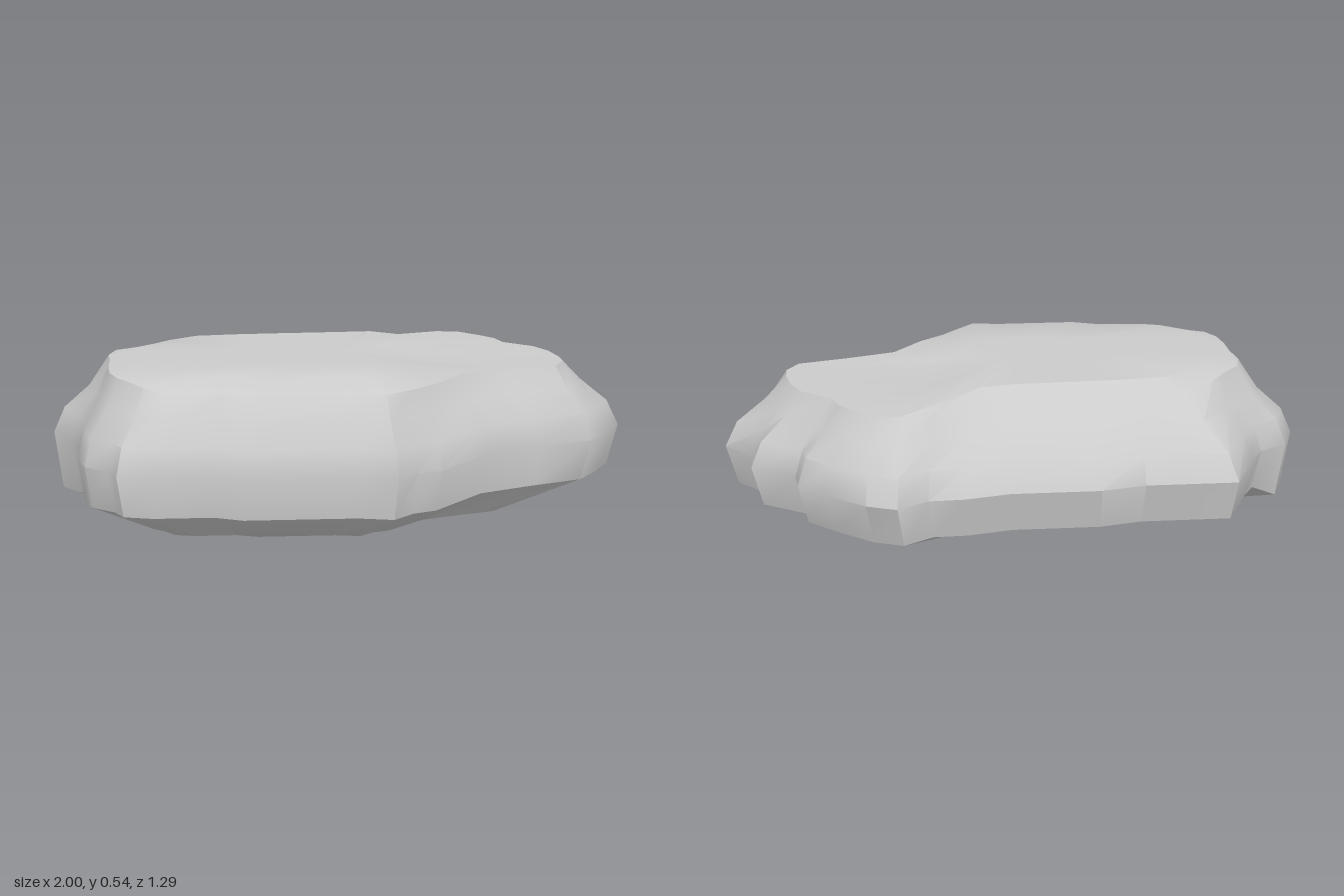
import * as THREE from 'three';
import { toCreasedNormals } from 'three/addons/utils/BufferGeometryUtils.js';

// Widest outline of the boulder as (x, z), starting at its right tip and passing along the back
const girth = [
  [-1, -0.03], [-0.95, -0.16], [-0.85, -0.22], [-0.8, -0.31], [-0.71, -0.51], [-0.4, -0.51], [-0.25, -0.545],
  [0.05, -0.545], [0.2, -0.58], [0.32, -0.585], [0.42, -0.65], [0.52, -0.61], [0.65, -0.5], [0.74, -0.41],
  [0.75, -0.33], [0.9, -0.23], [0.9, -0.12], [1, 0], [0.93, 0.12], [0.86, 0.21], [0.67, 0.28],
  [0.48, 0.36], [0.3, 0.55], [0.22, 0.58], [0.15, 0.645], [0.03, 0.62], [-0.35, 0.62], [-0.45, 0.58],
  [-0.65, 0.58], [-0.75, 0.555], [-0.78, 0.5], [-0.86, 0.43], [-0.89, 0.33], [-0.89, 0.2], [-0.93, 0.1],
];
// Rim of the flat top, point for point
const rim = [
  [-0.8, -0.02], [-0.78, -0.1], [-0.72, -0.16], [-0.67, -0.22], [-0.56, -0.3], [-0.4, -0.32], [-0.22, -0.33],
  [0.03, -0.34], [0.16, -0.36], [0.28, -0.41], [0.4, -0.47], [0.48, -0.46], [0.56, -0.38], [0.6, -0.33],
  [0.62, -0.26], [0.72, -0.18], [0.76, -0.1], [0.78, 0], [0.78, 0.07], [0.74, 0.14], [0.57, 0.19],
  [0.4, 0.25], [0.3, 0.38], [0.21, 0.46], [0.12, 0.53], [0.02, 0.51], [-0.3, 0.51], [-0.4, 0.47],
  [-0.6, 0.45], [-0.66, 0.43], [-0.7, 0.38], [-0.75, 0.33], [-0.78, 0.26], [-0.79, 0.17], [-0.79, 0.08],
];
// Smaller outline of the underside
const foot = girth.map(([x, z]) => [-0.06 + 0.68 * x, 0.09 + 0.56 * z]);

const { lerp, smoothstep } = THREE.MathUtils;

// One level ring blended between two outlines; height may depend on x
function ring(from, to, t, height) {
  return from.map(([x, z], i) => {
    const px = lerp(x, to[i][0], t);
    return [px, height(px), lerp(z, to[i][1], t)];
  });
}

function createBoulderGeometry() {
  const crownHeight = (x) => 0.54 - 0.04 * smoothstep(x, 0.1, 0.35);
  const crown = rim.map(([x, z]) => [-0.05 + 0.88 * (x + 0.05), 0.04 + 0.86 * (z - 0.04)]);
  const rings = [
    ring(foot, foot, 0, () => 0),
    ring(girth, foot, 0.1, (x) => lerp(0.11, 0.05, smoothstep(-x, 0.82, 0.95))),
    ring(girth, girth, 0, () => 0.25),
    ring(girth, rim, 0.2, () => 0.34),
    ring(girth, rim, 0.65, () => 0.42),
    ring(rim, rim, 0, (x) => 0.5 + 0.025 * smoothstep(-x, 0.55, 0.8)),
    ring(crown, crown, 0, crownHeight),
    ring(crown, crown.map(() => [0, 0.04]), 0.5, crownHeight),
  ];

  const n = girth.length;
  const points = [...rings.flat(), [0, 0, 0.09], [0, 0.54, 0.04]];
  const bottomCentre = points.length - 2;
  const topCentre = points.length - 1;
  const top = (rings.length - 1) * n;
  const index = [];
  for (let i = 0; i < n; i++) {
    const k = (i + 1) % n;
    // Side bands
    for (let r = 0; r < rings.length - 1; r++) {
      const a = r * n + i;
      const b = r * n + k;
      index.push(b, a, a + n, b, a + n, b + n);
    }
    // Underside and top
    index.push(bottomCentre, i, k, topCentre, top + k, top + i);
  }

  const geometry = new THREE.BufferGeometry();
  geometry.setAttribute('position', new THREE.Float32BufferAttribute(points.flat(), 3));
  geometry.setIndex(index);
  return toCreasedNormals(geometry, 0.62);
}

export function createModel() {
  const model = new THREE.Group();
  model.name = 'rock';
  const boulder = new THREE.Mesh(createBoulderGeometry(), new THREE.MeshStandardMaterial({ color: 0xcccccc }));
  boulder.name = 'boulder';
  model.add(boulder);
  return model;
}
